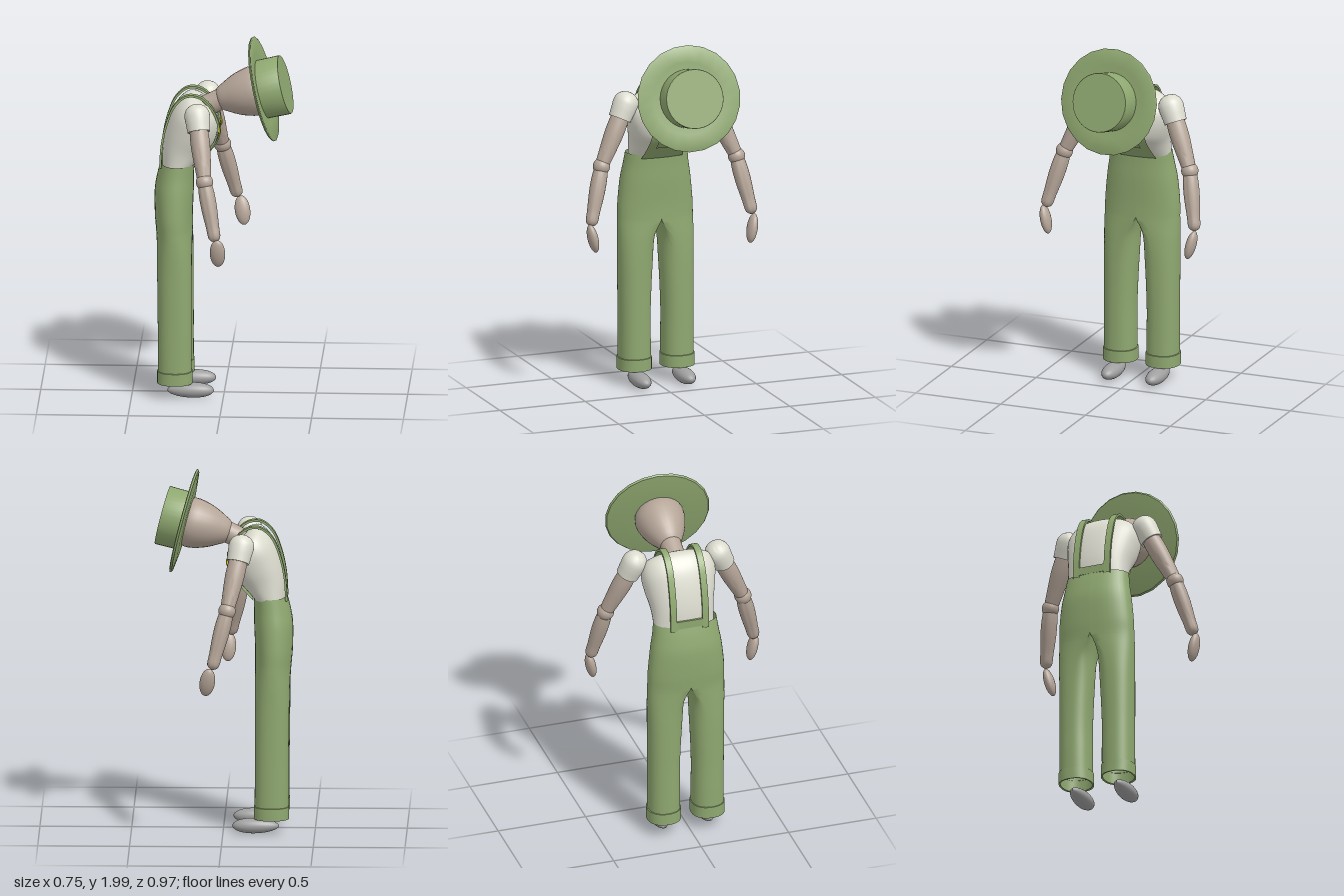
import * as THREE from 'three';
import { toCreasedNormals } from 'three/addons/utils/BufferGeometryUtils.js';
import { ParametricGeometry } from 'three/addons/geometries/ParametricGeometry.js';

const V = (x, y, z) => new THREE.Vector3(x, y, z);
const mat = (color) => new THREE.MeshStandardMaterial({ color, side: THREE.DoubleSide });
const MID = -0.015; // body centre line in z

// Smoothly resamples a table of cross-section rows
function resample(rows, n) {
  const curves = rows[0].map((_, c) => new THREE.SplineCurve(rows.map((r, i) => new THREE.Vector2(i, r[c]))));
  return Array.from({ length: n + 1 }, (_, i) => curves.map((c) => c.getPoint(i / n).y));
}

// Skin over closed rings of points
function loft(rings, flip = false, crease = 1) {
  const n = rings[0].length, index = [];
  for (let i = 0; i < rings.length - 1; i++) {
    for (let j = 0; j < n; j++) {
      const a = i * n + j, b = i * n + (j + 1) % n, c = a + n, d = b + n;
      index.push(...(flip ? [a, b, c, b, d, c] : [a, c, b, b, c, d]));
    }
  }
  const g = new THREE.BufferGeometry().setFromPoints(rings.flat());
  g.setIndex(index);
  return toCreasedNormals(g, crease);
}

// Rounded-square ring: calls point(cos, sin) around the circle
function ring(n, power, point) {
  return Array.from({ length: n }, (_, i) => {
    const a = (i / n) * Math.PI * 2, f = (v) => Math.sign(v) * Math.abs(v) ** power;
    const c = Math.abs(Math.cos(a)) < 1e-9 ? 0 : Math.cos(a), s = Math.abs(Math.sin(a)) < 1e-9 ? 0 : Math.sin(a);
    return point(f(c), f(s));
  });
}

function lathe(points, segments = 32, crease = 0.7) {
  return toCreasedNormals(new THREE.LatheGeometry(points.map(([r, y]) => new THREE.Vector2(r, y)), segments), crease);
}

export function createModel() {
  const model = new THREE.Group();
  const green = mat(0x8fa870), skin = mat(0xb5a598), cloth = mat(0xdcdcd0);
  const grey = mat(0xa0a0a0), yellow = mat(0xe0d000);

  const add = (name, geometry, material, parent = model) => {
    const mesh = new THREE.Mesh(geometry, material);
    mesh.name = name;
    parent.add(mesh);
    return mesh;
  };
  // Places an upright mesh at a, pointing along dir
  const aim = (mesh, a, dir) => {
    mesh.position.copy(a);
    mesh.quaternion.setFromUnitVectors(V(0, 1, 0), dir.clone().normalize());
    return mesh;
  };
  // Tapered limb from a to b, profile rows are [radius, fraction]
  const limb = (name, a, b, profile, material, parent) => {
    const d = b.clone().sub(a), L = d.length();
    const pts = resample(profile, 20).map(([r, t]) => [Math.max(r, 0), t * L]);
    return aim(add(name, lathe(pts, 28, 1.2), material, parent), a, d);
  };

  // Trousers: each half runs from waist to hem; columns y, cx, rx, zCentre, zOut, zIn
  const legRows = [
    [0.09, -0.264, 0.092, 0.125, 0.088, 0.088],
    [0.25, -0.265, 0.092, 0.125, 0.088, 0.088],
    [0.4, -0.265, 0.092, 0.125, 0.088, 0.087],
    [0.55, -0.266, 0.093, 0.12, 0.094, 0.087],
    [0.7, -0.267, 0.094, 0.11, 0.105, 0.085],
    [0.82, -0.268, 0.095, 0.075, 0.142, 0.055],
    [0.9, -0.27, 0.098, 0.02, 0.197, 0.012],
    [0.94, -0.272, 0.1, 0, 0.216, 0],
    [1.02, -0.275, 0.103, 0, 0.214, 0],
    [1.15, -0.273, 0.106, 0, 0.201, 0],
    [1.24, -0.265, 0.099, 0, 0.186, 0],
    [1.312, -0.254, 0.091, 0, 0.177, 0],
  ];
  const cuffRows = [[0.09, 0.086], [0.088, 0.096], [0.155, 0.096], [0.157, 0.09]];
  for (const s of [1, -1]) {
    const side = s > 0 ? 'right' : 'left';
    const legRings = resample(legRows, 44).map(([y, cx, rx, zc, zo, zi]) =>
      ring(40, 0.88, (c, n) => V(cx + rx * c, y, MID + s * (zc + (n > 0 ? zo : zi) * n))));
    add(side + 'Trouser', loft(legRings, s < 0), green);
    const cuffRings = cuffRows.map(([y, r]) =>
      ring(40, 0.88, (c, n) => V(-0.264 + r * c, y, MID + s * (0.125 + r * 0.97 * n))));
    add(side + 'Cuff', loft(cuffRings, s < 0, 0.6), green);
    // Shoe: long ellipsoid, thicker at the toe
    const shoe = new THREE.SphereGeometry(1, 32, 20), p = shoe.attributes.position;
    for (let i = 0; i < p.count; i++) {
      const k = 0.9 + 0.1 * p.getX(i);
      p.setXYZ(i, p.getX(i) * 0.127, p.getY(i) * 0.046 * k, p.getZ(i) * 0.054 * k);
    }
    shoe.computeVertexNormals();
    add(side + 'Shoe', shoe, grey).position.set(-0.178, 0.046, MID + s * 0.13);
  }

  // Shirt body: columns back x, back y, front x, front y, half width
  const torsoRows = [
    [-0.338, 1.29, -0.17, 1.29, 0.168],
    [-0.335, 1.4, -0.108, 1.36, 0.175],
    [-0.31, 1.52, -0.055, 1.42, 0.195],
    [-0.27, 1.62, -0.035, 1.49, 0.207],
    [-0.215, 1.68, -0.035, 1.55, 0.188],
    [-0.17, 1.688, -0.05, 1.59, 0.13],
    [-0.135, 1.672, -0.065, 1.61, 0.065],
  ];
  add('shirt', loft(resample(torsoRows, 30).map(([bx, by, fx, fy, w]) =>
    ring(40, 0.88, (c, n) => V(
      (bx + fx) / 2 + ((fx - bx) / 2) * c, (by + fy) / 2 + ((fy - by) / 2) * c, MID - 0.006 + w * n)))), cloth);

  // Bib and pocket, bent around the chest
  const bibPath = new THREE.CatmullRomCurve3(
    [V(-0.162, 1.29, 0.12), V(-0.1, 1.357, 0.112), V(-0.045, 1.425, 0.108), V(-0.023, 1.49, 0.105), V(-0.022, 1.525, 0.103)]);
  const panel = (t0, t1, widthScale, lift) => new ParametricGeometry((u, v, out) => {
    const q = bibPath.getPoint(t0 + (t1 - t0) * v), z = (u * 2 - 1) * q.z * widthScale;
    out.set(q.x - z * z * 0.9 + lift, q.y - lift * 0.6, MID + z);
  }, 12, 16);
  add('bib', panel(0, 1, 1, 0.002), green);
  add('bibPocket', panel(0.3, 0.7, 0.6, 0.007), green);
  add('backPanel', new THREE.BoxGeometry(0.012, 0.045, 0.2), green).position.set(-0.342, 1.325, MID);

  // Shoulder straps with buttons
  const strapPath = new THREE.CatmullRomCurve3([
    [-0.345, 1.29], [-0.336, 1.42], [-0.31, 1.54], [-0.265, 1.645], [-0.2, 1.697],
    [-0.13, 1.69], [-0.07, 1.635], [-0.033, 1.56], [-0.026, 1.5]].map(([x, y]) => V(x, y, 0)));
  for (const s of [1, -1]) {
    const zc = MID + s * 0.091;
    const rings = Array.from({ length: 41 }, (_, i) => {
      const p = strapPath.getPoint(i / 40), t = strapPath.getTangent(i / 40);
      return [[1, 1], [1, -1], [-1, -1], [-1, 1]].map(([n, w]) =>
        V(p.x - t.y * n * 0.006, p.y + t.x * n * 0.006, zc + w * 0.018));
    });
    add('strap', loft(rings, false, 0.6), green);
    const button = add('button', lathe([[0, 0], [0.019, 0], [0.019, 0.007], [0.013, 0.011], [0, 0.011]], 20), yellow);
    aim(button, V(-0.027, 1.505, zc), V(1, 0, 0));
  }

  // Arms: shoulder, elbow, wrist and hand positions differ per side
  const arms = [
    { name: 'rightArm', s: 1, shoulder: V(-0.137, 1.62, 0.212), elbow: V(-0.09, 1.295, 0.37),
      wrist: V(-0.028, 0.985, 0.455), hand: V(-0.015, 0.915, 0.449) },
    { name: 'leftArm', s: -1, shoulder: V(-0.102, 1.62, -0.255), elbow: V(-0.028, 1.295, -0.395),
      wrist: V(0.052, 0.985, -0.457), hand: V(0.078, 0.908, -0.446) },
  ];
  for (const { name, s, shoulder, elbow, wrist, hand } of arms) {
    const arm = new THREE.Group();
    arm.name = name;
    model.add(arm);
    const sleeve = add('sleeve', lathe([[0.052, -0.085], [0.062, -0.086], [0.066, -0.04], [0.07, 0], [0.067, 0.022],
      [0.058, 0.042], [0.043, 0.057], [0.022, 0.067], [0, 0.07]], 32, 0.9), cloth, arm);
    aim(sleeve, shoulder, shoulder.clone().sub(elbow));
    limb('upperArm', shoulder, elbow, [[0.045, 0], [0.052, 0.3], [0.052, 0.5], [0.045, 0.75], [0.037, 1]], skin, arm);
    add('elbow', new THREE.SphereGeometry(0.047, 28, 18), skin, arm).position.copy(elbow);
    limb('forearm', elbow, wrist, [[0.036, 0], [0.043, 0.2], [0.043, 0.45], [0.036, 0.75], [0.031, 0.95], [0, 1.02]], skin, arm);
    const palm = add('hand', new THREE.SphereGeometry(1, 28, 18), skin, arm);
    palm.scale.set(0.042, 0.081, 0.028);
    palm.position.copy(hand);
    palm.rotation.set(s * 0.22, 0, s < 0 ? 0.15 : 0.03);
  }

  // Neck and egg-shaped head
  limb('neck', V(-0.15, 1.59, MID - 0.007), V(0.01, 1.672, MID - 0.007), [[0.058, 0], [0.058, 0.5], [0.058, 1]], skin);
  limb('head', V(-0.04, 1.655, MID - 0.007), V(0.29, 1.735, MID - 0.007),
    [[0, 0], [0.05, 0.01], [0.084, 0.16], [0.114, 0.34], [0.133, 0.53], [0.136, 0.68], [0.11, 0.85], [0.06, 0.96], [0, 1]], skin);

  // Hat: faceted brim and round crown on one tilted axis
  const hat = new THREE.Group();
  hat.name = 'hat';
  aim(hat, V(0.203, 1.713, MID - 0.007), V(1, 0.25, 0.086));
  model.add(hat);
  add('brim', lathe([[0.13, -0.008], [0.2, -0.006], [0.285, 0.004], [0.292, 0.014], [0.285, 0.018],
    [0.2, 0.008], [0.13, 0.006]], 22, 0.8), green, hat);
  add('crown', lathe([[0.161, 0], [0.163, 0.13], [0.161, 0.134], [0, 0.134]], 36), green, hat);
  return model;
}
